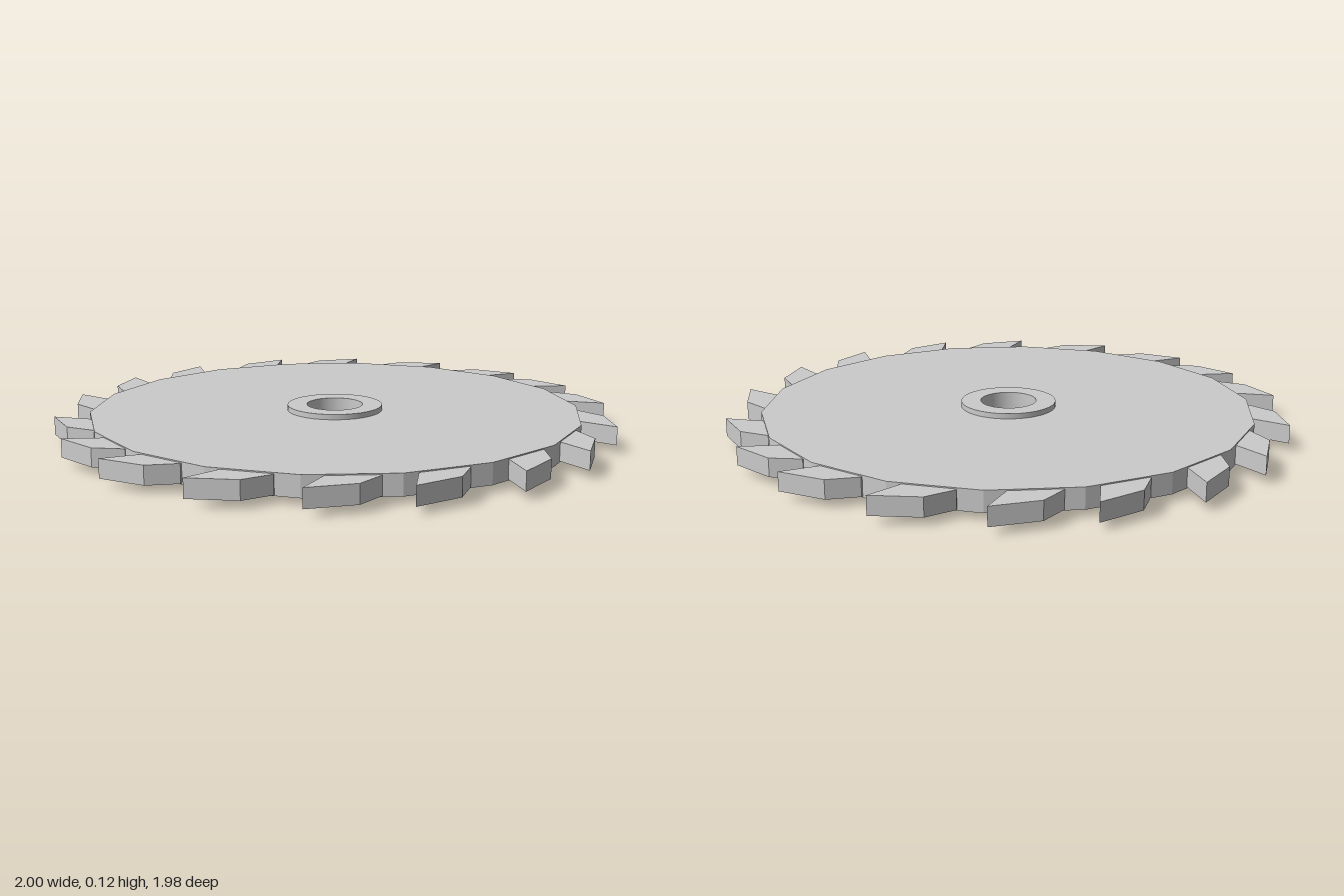
import * as THREE from 'three';
import { toCreasedNormals } from 'three/addons/utils/BufferGeometryUtils.js';

const polar = (r, deg) => {
  const a = THREE.MathUtils.degToRad(deg);
  return new THREE.Vector2(r * Math.cos(a), r * Math.sin(a));
};

// Regular polygon as a list of points
const ring = (r, sides) => Array.from({ length: sides }, (_, i) => polar(r, (i * 360) / sides));

// Flat outline raised from y0 to y1
function plate(points, y0, y1, hole) {
  const shape = new THREE.Shape(points);
  if (hole) shape.holes.push(new THREE.Path(hole));
  const geo = new THREE.ExtrudeGeometry(shape, { depth: y1 - y0, bevelEnabled: false });
  geo.rotateX(-Math.PI / 2);
  geo.translate(0, y0, 0);
  return geo;
}

export function createModel() {
  const group = new THREE.Group();
  group.name = 'sawBlade';
  const flat = new THREE.MeshStandardMaterial({ color: 0xcccccc, flatShading: true });
  const smooth = new THREE.MeshStandardMaterial({ color: 0xcccccc });

  const add = (name, geo, mat) => {
    const mesh = new THREE.Mesh(geo, mat);
    mesh.name = name;
    group.add(mesh);
    return mesh;
  };

  // Blade disc: 18-sided plate with an opening inside the hub
  add('disc', plate(ring(0.88, 18), 0.023, 0.096, ring(0.14, 48)), flat);

  // Hub collar with the arbor hole
  const hub = add('hub', toCreasedNormals(plate(ring(0.17, 48), 0, 0.115, ring(0.1, 48)), 0.6), smooth);
  hub.position.set(-0.003, 0, 0.005);

  // Raked teeth: slightly uneven spacing, repeated on the opposite half
  const profile = [[0.84, 4], [0.878, 3], [1, 0], [0.955, 9.7], [0.875, 14.6], [0.84, 14.6]];
  const toothGeo = plate(profile.map(([r, a]) => polar(r, a)), 0.027, 0.092);
  const tipAngles = [81.3, 60, 39.2, 21.8, 3, -18.5, -39.1, -58.3, -79.8];
  for (const half of [0, 180]) {
    for (const angle of tipAngles) {
      const tooth = add('tooth', toothGeo, flat);
      tooth.rotation.y = THREE.MathUtils.degToRad(angle + half);
    }
  }
  return group;
}
